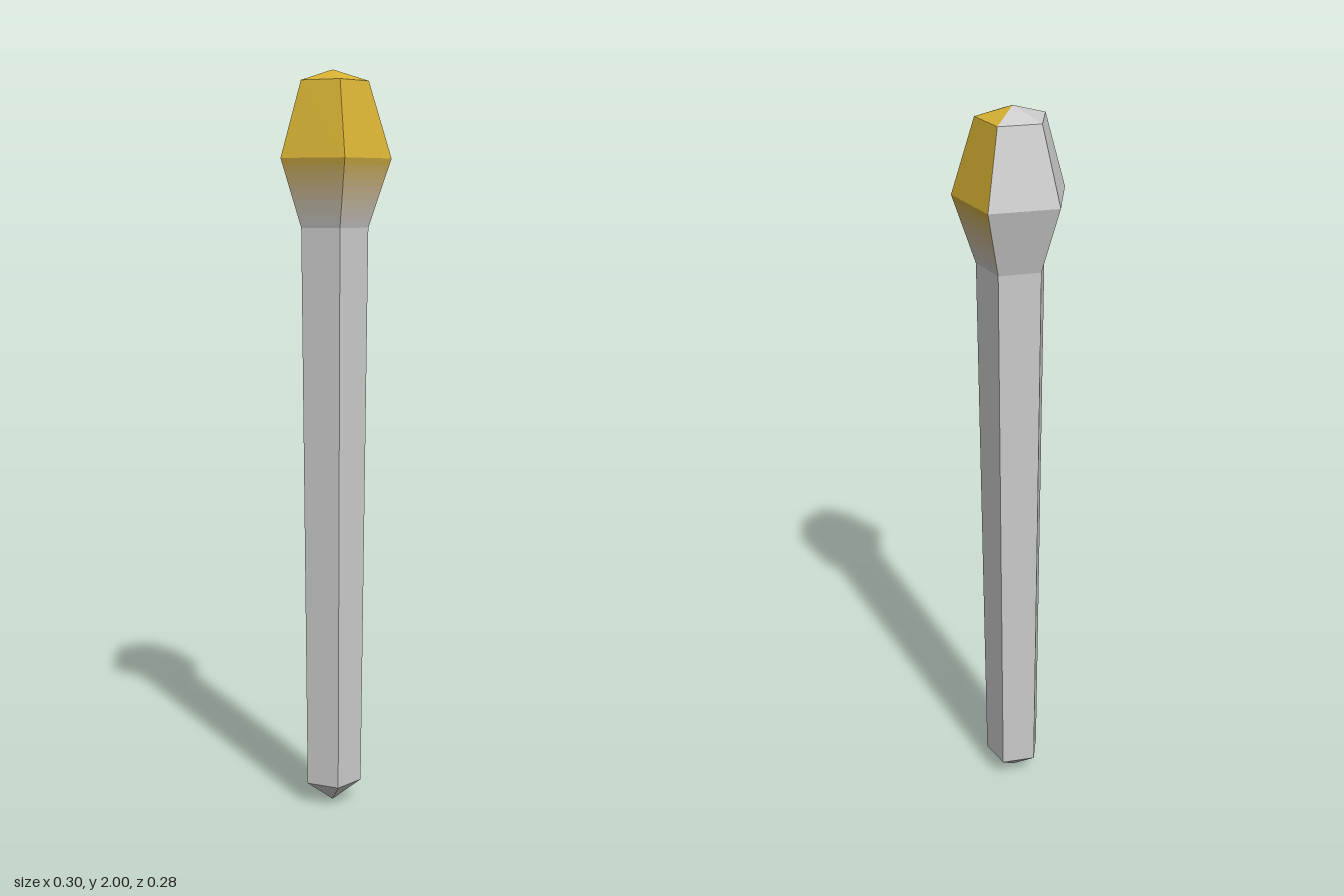
import * as THREE from 'three';

const GREY = 0xcccccc, GOLD = 0xd6b133;
const STEP = (Math.PI * 2) / 5; // five-sided cross-section, one corner to the back

// Faceted surface through [radius, height] points, spanning some of the five sides
function facets(name, profile, color, firstCorner, sides) {
  const points = profile.map(([r, y]) => new THREE.Vector2(r, y));
  const geometry = new THREE.LatheGeometry(points, sides, firstCorner * STEP, sides * STEP);
  const material = new THREE.MeshStandardMaterial({ color, flatShading: true, side: THREE.DoubleSide });
  const mesh = new THREE.Mesh(geometry, material);
  mesh.name = name;
  return mesh;
}

export function createModel() {
  const model = new THREE.Group();
  model.name = 'matchstick';
  const body = new THREE.Group();
  body.name = 'body';
  body.position.z = 0.0136; // centres the pentagon's bounds
  model.add(body);

  const neck = [0.095, 1.59], bulge = [0.1556, 1.77], shoulder = [0.095, 1.97], tip = [0, 2];

  // Tapered shaft with a pointed foot
  body.add(facets('shaft', [[0, 0], [0.079, 0.06], neck], GREY, -1.5, 5));

  // Head: two plain sides at the back, three gold sides at the front
  body.add(facets('headBack', [neck, bulge, shoulder, tip], GREY, 1.5, 2));
  body.add(facets('headFront', [bulge, shoulder, tip], GOLD, -1.5, 3));

  // Gold fades to grey down the underside of the head, in thin bands
  const bands = 10;
  const at = t => neck.map((v, i) => THREE.MathUtils.lerp(v, bulge[i], t));
  for (let i = 0; i < bands; i++) {
    const color = new THREE.Color(GREY).lerp(new THREE.Color(GOLD), (i + 0.5) / bands);
    body.add(facets('headFade' + (i + 1), [at(i / bands), at((i + 1) / bands)], color, -1.5, 3));
  }
  return model;
}
